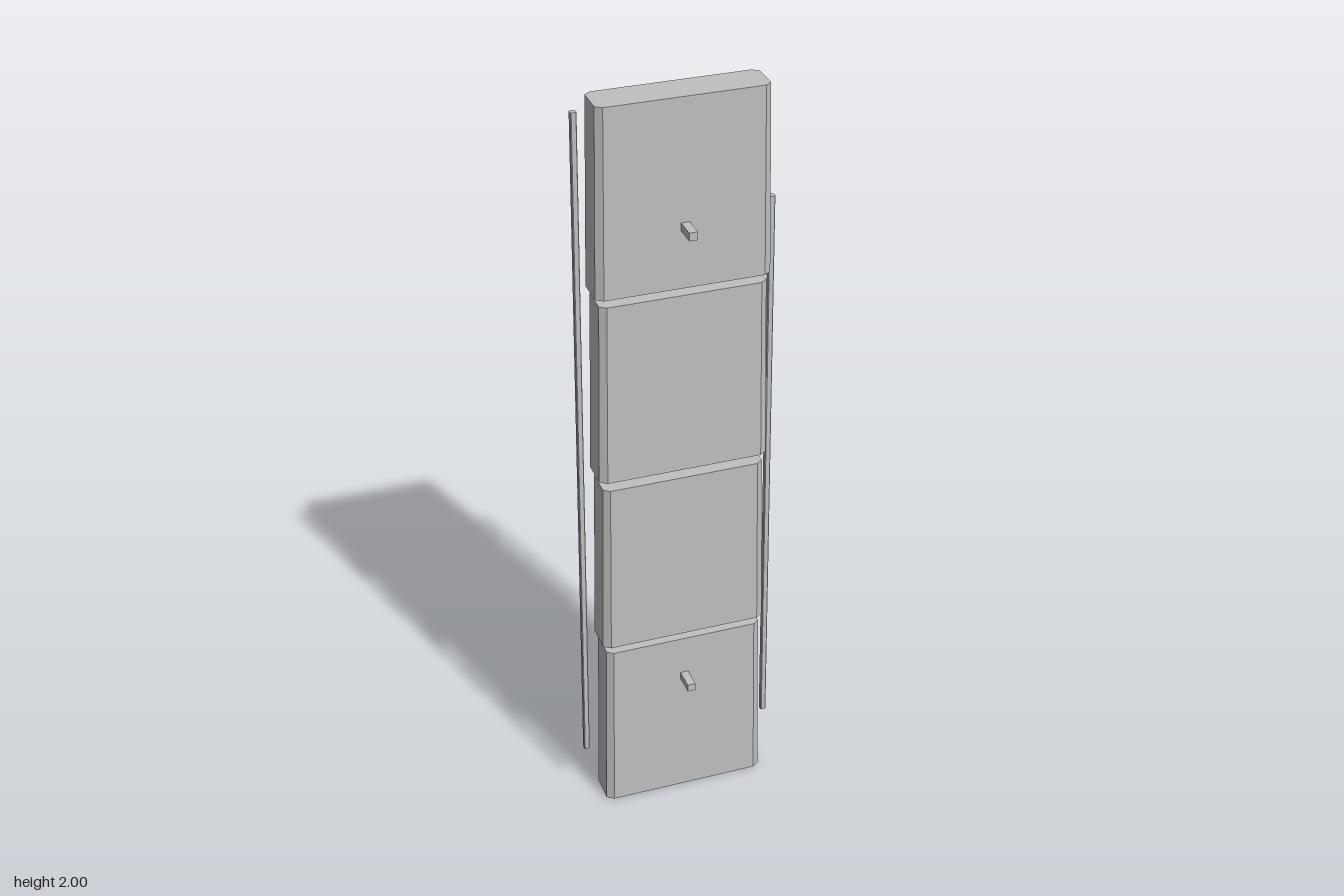
import * as THREE from 'three';

const grey = new THREE.MeshStandardMaterial({ color: 0xc0c0c0 });
grey.name = 'plain grey';

// Flat-sided solid between two matching loops, each counter-clockwise seen from the end loop's outside.
function loft(start, end) {
  const pos = [];
  const n = start.length;
  const tri = (a, b, c) => pos.push(...a, ...b, ...c);
  for (let i = 0; i < n; i++) {
    const j = (i + 1) % n;
    tri(start[i], start[j], end[j]);
    tri(start[i], end[j], end[i]);
    if (i > 0 && i < n - 1) {
      tri(end[0], end[i], end[i + 1]);
      tri(start[0], start[i + 1], start[i]);
    }
  }
  const geometry = new THREE.BufferGeometry();
  geometry.setAttribute('position', new THREE.Float32BufferAttribute(pos, 3));
  geometry.computeVertexNormals();
  return geometry;
}

// Rectangle with cut corners, counter-clockwise
function cutRect(w, h, cu, cv) {
  return [
    [w - cu, -h], [w, -h + cv], [w, h - cv], [w - cu, h],
    [-w + cu, h], [-w, h - cv], [-w, -h + cv], [-w + cu, -h],
  ];
}

export function createModel() {
  const model = new THREE.Group();
  model.name = 'panelSign';

  function add(name, geometry, x = 0, y = 0, z = 0) {
    const mesh = new THREE.Mesh(geometry, grey);
    mesh.name = name;
    mesh.position.set(x, y, z);
    model.add(mesh);
    return mesh;
  }
  const box = (name, w, h, d, x, y, z) => add(name, new THREE.BoxGeometry(w, h, d), x, y, z);

  // Solid standing between y0 and y1 with different cut rectangles at each end
  const upright = (low, high, y0, y1, x0 = 0, x1 = 0) => loft(
    low.map(([u, v]) => [x0 + u, y0, -v]),
    high.map(([u, v]) => [x1 + u, y1, -v]));

  // Four body blocks with narrow open gaps, each narrowing slightly upward
  [[0, 0.49], [0.51, 0.99], [1.015, 1.5], [1.52, 2]].forEach(([y0, y1], i) => {
    const low = cutRect(0.218, 0.05, 0.018, 0.013);
    const high = cutRect(0.209, 0.048, 0.016, 0.012);
    add(`bodyBlock${i + 1}`, upright(low, high, y0, y1), 0, 0, -0.005);
  });

  // Cut-cornered back plate with slanting edges
  const plateFront = cutRect(0.17, 0.9, 0.04, 0.05).map(([x, y]) => [x, y + 1.06, -0.061]);
  const plateBack = cutRect(0.187, 0.9, 0.04, 0.05).map(([x, y]) => [x, y + 1.02, -0.075]);
  add('backPlate', loft(plateBack, plateFront));
  box('plateConnector', 0.016, 0.07, 0.02, 0, 1.08, -0.055);

  // Raised horizontal slats on the back plate
  [1.86, 1.64, 1.43, 1.29, 1.1, 0.87, 0.72, 0.51].forEach((top, i) => {
    box(`backSlat${i + 1}`, 0.232, 0.065, 0.027, 0, top - 0.0325, -0.0865);
  });

  // Thin leaning side rods of unequal length
  const rod = cutRect(0.0075, 0.0075, 0.002, 0.002);
  add('rightRod', upright(rod, rod, 0.14, 1.97, -0.254, -0.242), 0, 0, -0.026);
  add('leftRod', upright(rod, rod, 0.14, 1.69, 0.251, 0.24), 0, 0, -0.026);

  // Front mounting pegs
  [0.37, 1.68].forEach((y, i) => {
    box(`frontPeg${i + 1}`, 0.021, 0.021, 0.06, 0, y, 0.07);
  });

  return model;
}
